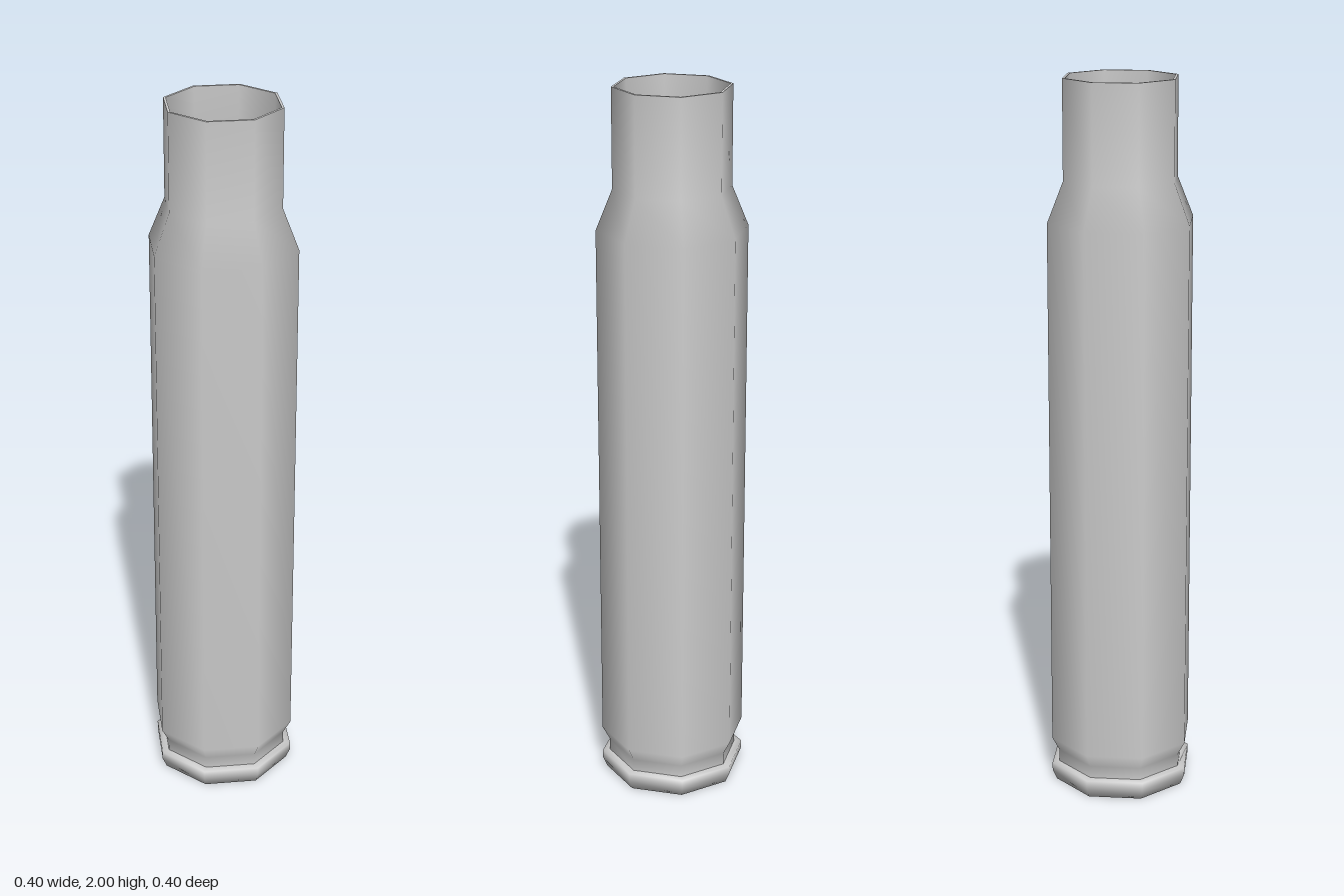
import * as THREE from 'three';

const SIDES = 8;
const material = new THREE.MeshStandardMaterial({ color: 0xcccccc });

// Eight-sided smooth-shaded turning of a [radius, height] profile
function turned(name, profile) {
  const points = profile.map(([r, y]) => new THREE.Vector2(r, y));
  const mesh = new THREE.Mesh(new THREE.LatheGeometry(points, SIDES, Math.PI / 16), material);
  mesh.name = name;
  return mesh;
}

export function createModel() {
  const group = new THREE.Group();
  group.name = 'cartridgeCase';

  // Base disc, flared rim and the step into the extractor groove
  group.add(turned('rim', [
    [0, 0], [0.192, 0], [0.205, 0.03], [0.205, 0.053], [0.184, 0.055],
  ]));

  // Groove, straight body, sloping shoulder and neck
  group.add(turned('casing', [
    [0.184, 0.055], [0.184, 0.09], [0.205, 0.13],
    [0.205, 1.62], [0.16, 1.73], [0.16, 2],
  ]));

  // Thin lip, then the hollow inside down to its floor
  group.add(turned('mouthLip', [[0.16, 2], [0.153, 2]]));
  group.add(turned('hollow', [
    [0.153, 2], [0.153, 1.73], [0.196, 1.61], [0.196, 0.14], [0, 0.14],
  ]));

  return group;
}
